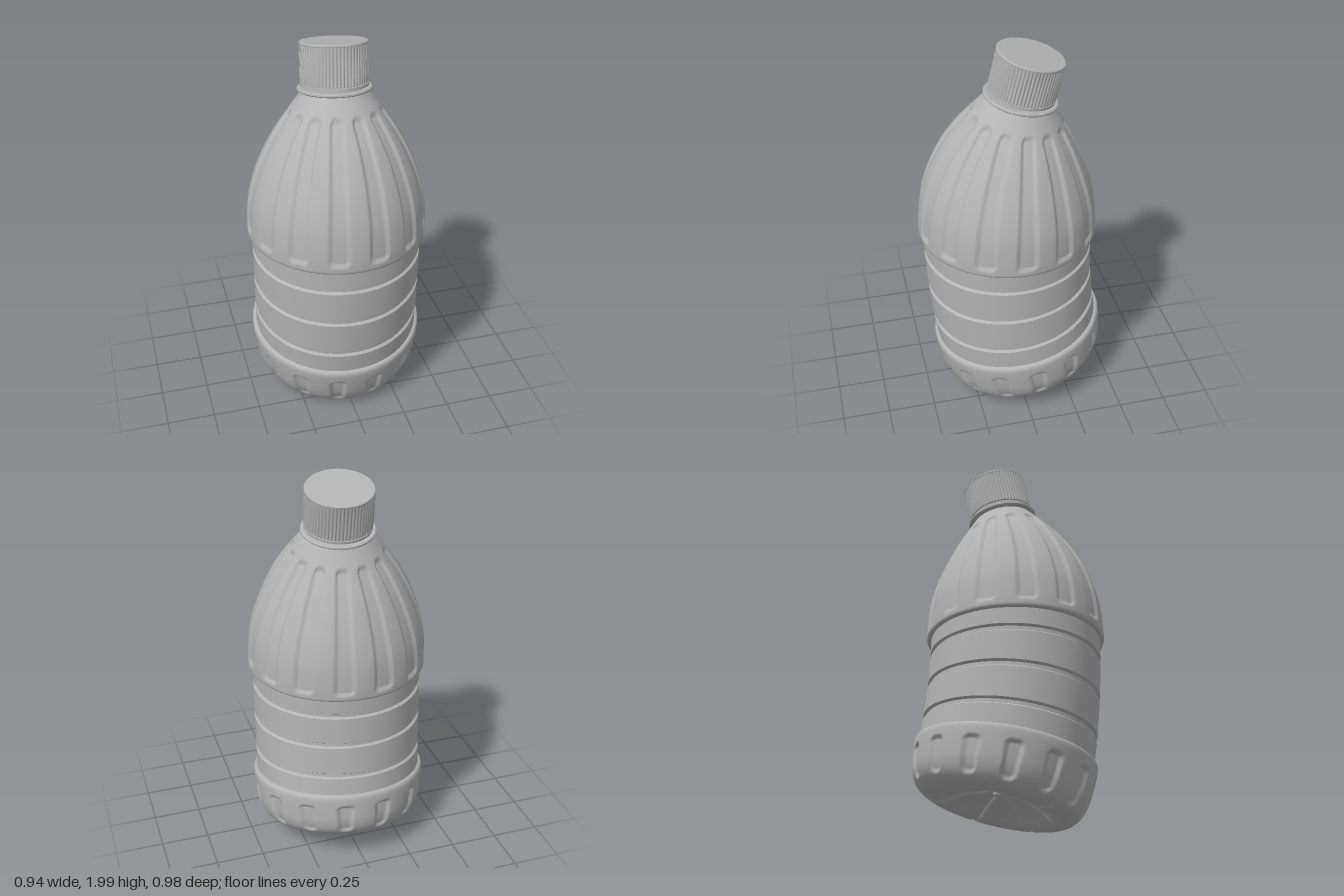
import * as THREE from 'three';
import { mergeGeometries } from 'three/addons/utils/BufferGeometryUtils.js';

const FLUTES = 14, RAYS = 7, RIBS = 60;
const SEAM = 0.98, R = 4;                       // bend starts from the shoulder seam
const DIR = new THREE.Vector2(0.17, -1).normalize();

// Bends an upright point along an arc leaning toward DIR
function bend(x, s, z) {
  const u = x * DIR.x + z * DIR.y, v = x * DIR.y - z * DIR.x;
  const t = (s - SEAM) / R;
  const bu = R - (R - u) * Math.cos(t);
  return [bu * DIR.x + v * DIR.y - 0.005, SEAM + (R - u) * Math.sin(t), bu * DIR.y - v * DIR.x + 0.027];
}

// Turns rows of [radius, height] into a bent surface; inset(a, r, s) presses it inward
function revolve(rows, segs, inset = () => 0) {
  const pos = [], index = [];
  rows.forEach(([r, s], i) => {
    const p = rows[Math.max(i - 1, 0)], n = rows[Math.min(i + 1, rows.length - 1)];
    const len = Math.hypot(n[0] - p[0], n[1] - p[1]) || 1;
    const nr = (n[1] - p[1]) / len, ns = -(n[0] - p[0]) / len;
    for (let j = 0; j < segs; j++) {
      const a = (j / segs) * Math.PI * 2, d = inset(a, r, s);
      const rr = Math.max(r - nr * d, 0);
      pos.push(...bend(rr * Math.sin(a), s - ns * d, rr * Math.cos(a)));
      if (i === rows.length - 1) continue;
      const k = (j + 1) % segs, A = i * segs + j, B = i * segs + k;
      if (r > 1e-6) index.push(A, B, B + segs);
      if (n[0] > 1e-6) index.push(A, B + segs, A + segs);
    }
  });
  const g = new THREE.BufferGeometry();
  g.setAttribute('position', new THREE.Float32BufferAttribute(pos, 3));
  g.setIndex(index);
  g.computeVertexNormals();
  return g;
}

// Smooth profile through a few points
function spline(points, count) {
  const c = new THREE.SplineCurve(points.map(p => new THREE.Vector2(...p)));
  c.arcLengthDivisions = 600;
  return c.getSpacedPoints(count).map(p => [p.x, p.y]);
}

// Profile with sharp corners: one strip per straight piece
function crisp(points, segs, inset) {
  return mergeGeometries(points.slice(1).map((p, i) => revolve([points[i], p], segs, inset)));
}

// Signed distance from a rounded rectangle
function roundedBox(x, y, w, h, rad) {
  const dx = Math.abs(x) - w + rad, dy = Math.abs(y) - h + rad;
  return Math.hypot(Math.max(dx, 0), Math.max(dy, 0)) + Math.min(Math.max(dx, dy), 0) - rad;
}

const press = (dist, depth) => depth * THREE.MathUtils.smoothstep(-dist, 0, 0.014);

// Angle to the nearest of n evenly spaced places
function nearest(a, n, offset) {
  const step = Math.PI * 2 / n, q = (a - offset) / step;
  return (q - Math.round(q)) * step;
}

// Recessed flute running from height lo to hi
function flute(a, r, s, lo, hi, wLo, wHi, depth) {
  const w = THREE.MathUtils.mapLinear(s, lo, hi, wLo, wHi);
  const x = nearest(a, FLUTES, Math.PI / FLUTES) * r;
  return press(roundedBox(x, s - (lo + hi) / 2, w, (hi - lo) / 2, 0.03), depth);
}

export function createModel() {
  const group = new THREE.Group();
  const grey = new THREE.MeshStandardMaterial({ color: 0xb3b3b3 });
  grey.name = 'plain grey';
  const add = (name, geometry) => {
    const m = new THREE.Mesh(geometry, grey);
    m.name = name;
    group.add(m);
  };

  // Base: domed underside, foot ring, fluted side and rolled rim
  const base = spline([
    [0, 0.165], [0.06, 0.163], [0.15, 0.148], [0.23, 0.118], [0.28, 0.09], [0.315, 0.08],
    [0.355, 0.081], [0.395, 0.1], [0.425, 0.135], [0.445, 0.185], [0.456, 0.25],
    [0.462, 0.31], [0.463, 0.345], [0.457, 0.362], [0.442, 0.368],
  ], 84);
  add('base', revolve(base, FLUTES * 20, (a, r, s) => {
    if (r > 0.4) return flute(a, r, s, 0.115, 0.3, 0.036, 0.048, 0.014);
    const x = nearest(a, RAYS, 0) * r;
    return press(roundedBox(x, r - 0.22, 0.019, 0.17, 0.015), 0.012);
  }));
  add('baseButton', crisp([[0, 0.148], [0.025, 0.148], [0.035, 0.168]], 32));

  // Body: straight wall with three grooves
  const wall = [[0.443, 0.36]];
  for (const g of [0.485, 0.68, 0.868]) {
    wall.push([0.443, g - 0.018], [0.43, g - 0.009], [0.43, g + 0.009], [0.443, g + 0.018]);
  }
  wall.push([0.443, 0.98]);
  add('groovedBody', crisp(wall, 128));

  // Shoulder: rolled lip, then a fluted dome up to the neck
  add('shoulderLip', revolve(spline([
    [0.44, 0.972], [0.453, 0.972], [0.462, 0.978], [0.465, 0.99],
  ], 8), 140));
  add('shoulder', revolve(spline([
    [0.465, 0.99], [0.464, 1.06], [0.451, 1.18], [0.418, 1.3], [0.373, 1.41], [0.32, 1.51],
    [0.26, 1.6], [0.2, 1.68], [0.165, 1.725],
  ], 76), FLUTES * 20, (a, r, s) => flute(a, r, s, 1.01, 1.645, 0.056, 0.036, 0.012)));

  // Neck with its support ring and the loose band under the cap
  add('neck', crisp([
    [0.155, 1.71], [0.155, 1.727], [0.182, 1.727], [0.188, 1.732], [0.188, 1.74], [0.182, 1.745],
    [0.157, 1.745], [0.157, 1.752], [0.17, 1.752], [0.17, 1.765], [0.155, 1.765], [0.155, 1.775],
  ], 96));

  // Screw cap with fine vertical ribs
  const ribs = (a, r, s) =>
    s > 1.772 && s < 1.957 && Math.abs(nearest(a, RIBS, 0)) > Math.PI / RIBS * 0.55 ? 0.007 : 0;
  add('capSkirt', crisp([
    [0.15, 1.77], [0.17, 1.77], [0.172, 1.774], [0.172, 1.955], [0.172, 1.958],
  ], RIBS * 4, ribs));
  add('capTop', crisp([[0.172, 1.958], [0.172, 1.964], [0.168, 1.968], [0, 1.968]], 96));

  return group;
}
